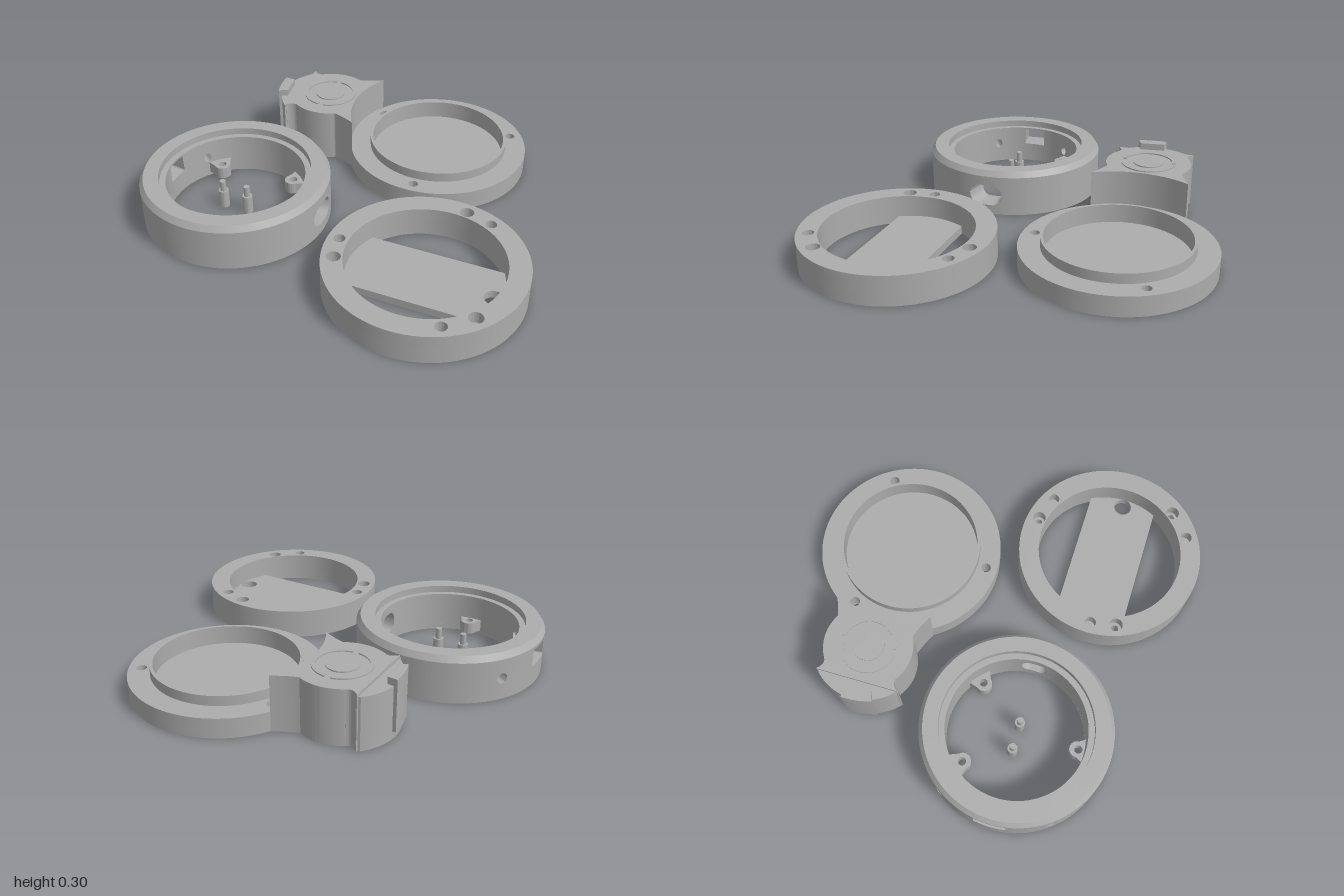
import * as THREE from 'three';
import { toCreasedNormals } from 'three/addons/utils/BufferGeometryUtils.js';

const gray = new THREE.MeshStandardMaterial({ color: 0xacacac });
gray.name = 'gray';
const rad = THREE.MathUtils.degToRad;

function add(parent, name, geometry) {
  const m = new THREE.Mesh(toCreasedNormals(geometry, 0.5), gray);
  m.name = name;
  parent.add(m);
  return m;
}

function circle(x, z, r, Type = THREE.Path) {
  const p = new Type();
  p.absarc(x, z, r, 0, Math.PI * 2, false);
  return p;
}

// Flat outline in x, z with holes [x, z, r], raised from y0 to y1
function slab(shape, y0, y1, holes = []) {
  for (const [x, z, r] of holes) shape.holes.push(circle(x, z, r));
  const g = new THREE.ExtrudeGeometry(shape, { depth: y1 - y0, bevelEnabled: false, curveSegments: 48 });
  return g.rotateX(Math.PI / 2).translate(0, y1, 0);
}

const disc = (r) => circle(0, 0, r, THREE.Shape);

// Closed (radius, y) profile, depending on the angle, swept round the y axis
function sweep(profile, n) {
  const pos = [], index = [];
  let k = 0;
  for (let i = 0; i <= n; i++) {
    const a = (i / n) * Math.PI * 2, loop = profile(a);
    k = loop.length;
    for (const [r, y] of loop) pos.push(r * Math.cos(a), y, r * Math.sin(a));
  }
  for (let i = 0; i < n; i++) for (let j = 0; j < k; j++) {
    const a = i * k + j, b = i * k + (j + 1) % k;
    index.push(a, b, b + k, a, b + k, a + k);
  }
  const g = new THREE.BufferGeometry();
  g.setAttribute('position', new THREE.Float32BufferAttribute(pos, 3));
  g.setIndex(index);
  return g;
}

// Openings through the housing wall: direction, half width, half height, centre height
const openings = [
  { a: 0, w: 0.09, h: 0.055, y: 0.105, round: true },
  { a: Math.PI, w: 0.08, h: 0.045, y: 0.15 },
  { a: Math.atan2(0.28, -0.375), w: 0.026, h: 0.026, y: 0.11, round: true },
  { a: Math.atan2(-0.27, -0.38), w: 0.026, h: 0.026, y: 0.11, round: true },
];

function gap(a) {
  for (const o of openings) {
    const d = Math.abs(Math.atan2(Math.sin(a - o.a), Math.cos(a - o.a))) * 0.47;
    if (d >= o.w) continue;
    const s = Math.max(0, d - (o.w - o.h));
    const h = o.round ? Math.sqrt(Math.max(0, o.h * o.h - s * s)) : o.h;
    return [o.y - h, o.y + h];
  }
  return [0.11, 0.11];
}

function buildHousing() {
  const g = new THREE.Group();
  g.name = 'housingRing';
  const lugs = [[-0.205, -0.215], [0.205, -0.225], [0.01, 0.315]];
  const screws = lugs.map(([x, z]) => {
    const s = 0.41 / Math.hypot(x, z);
    return [x * s, z * s, 0.02];
  });
  // Wall in a base plate, a lower band and an upper band with chamfer and inner step
  add(g, 'housingBase', slab(disc(0.47), 0, 0.03, [[0, 0, 0.345], ...screws]));
  add(g, 'housingLowerWall', sweep((a) => {
    const y = gap(a)[0];
    return [[0.345, 0.03], [0.47, 0.03], [0.47, y], [0.345, y]];
  }, 720));
  add(g, 'housingUpperWall', sweep((a) => {
    const y = gap(a)[1];
    return [[0.345, y], [0.47, y], [0.47, 0.21], [0.45, 0.24], [0.375, 0.24], [0.375, 0.205], [0.345, 0.205]];
  }, 720));
  // Rounded screw lugs pointing inwards
  for (const [x, z] of lugs) {
    const r = Math.hypot(x, z), s = new THREE.Shape();
    s.moveTo(0.352, -0.065);
    s.lineTo(0.352, 0.065);
    s.lineTo(r, 0.042);
    s.absarc(r - 0.005, 0, 0.04, rad(90), rad(270), false);
    add(g, 'screwLug', slab(s, 0.02, 0.08, [[r, 0, 0.02]])).rotation.y = -Math.atan2(z, x);
  }
  // Two stepped pins in the middle
  for (const x of [-0.077, 0.057]) {
    const pts = [[0, 0], [0.025, 0], [0.025, 0.095], [0.015, 0.095], [0.015, 0.15], [0, 0.15]];
    add(g, 'pin', new THREE.LatheGeometry(pts.map((p) => new THREE.Vector2(...p)), 32)).position.set(x, 0, 0.005);
  }
  g.position.set(-0.53, 0, 0.29);
  return g;
}

function buildCover() {
  const g = new THREE.Group();
  g.name = 'coverDisc';
  const holes = [[-0.375, 0.185 * -1, 0.025], [0.352, -0.21, 0.025], [-0.003, 0.412, 0.025]];
  add(g, 'coverFloor', slab(disc(0.472), 0, 0.055, holes));
  add(g, 'coverFlange', slab(disc(0.472), 0.055, 0.1, [[0, 0, 0.35], ...holes]));
  add(g, 'coverRim', slab(disc(0.365), 0.1, 0.15, [[0, 0, 0.35]]));
  g.position.set(0.275, 0, -0.51);
  return g;
}

function buildBaseRing() {
  const g = new THREE.Group();
  g.name = 'baseRing';
  const through = [[0.08, -0.402], [-0.392, 0.128], [0.305, 0.27]];
  const blind = [[0.21, -0.355], [-0.415, 0], [0.185, 0.37]];
  const sized = (list, r) => list.map(([x, z]) => [x, z, r]);
  add(g, 'ringLower', slab(disc(0.472), 0, 0.09, [[0, 0, 0.37], ...sized(through, 0.019)]));
  add(g, 'ringUpper', slab(disc(0.472), 0.09, 0.15,
    [[0, 0, 0.37], ...sized(through, 0.034), ...sized(blind, 0.028)]));
  // Strap across the opening, slightly turned
  const s = new THREE.Shape();
  s.moveTo(-0.33, -0.188);
  s.lineTo(0.33, -0.168);
  s.quadraticCurveTo(0.41, 0.01, 0.33, 0.183);
  s.lineTo(-0.33, 0.165);
  s.quadraticCurveTo(-0.41, -0.01, -0.33, -0.188);
  add(g, 'strap', slab(s, 0.001, 0.04, [[0.325, 0.01, 0.045]]));
  g.position.set(0.527, 0, 0.5);
  return g;
}

function buildHub() {
  const g = new THREE.Group();
  g.name = 'hub';
  // Round body flaring out to meet the cover disc
  const s = new THREE.Shape();
  s.moveTo(0.225, 0.245);
  s.quadraticCurveTo(0.15, 0.205, 0.105, 0.194);
  s.absarc(0, 0, 0.22, rad(62), rad(122), false);
  s.quadraticCurveTo(-0.145, 0.165, -0.18, 0.205);
  s.lineTo(-0.18, -0.205);
  s.quadraticCurveTo(-0.145, -0.165, -0.117, -0.187);
  s.absarc(0, 0, 0.22, rad(238), rad(298), false);
  s.quadraticCurveTo(0.15, -0.205, 0.225, -0.245);
  s.absarc(0.63, 0, 0.473, rad(211), rad(149), true);
  add(g, 'hubBody', slab(s, 0, 0.28));
  // Lower lobe on the outer side
  const lobe = new THREE.Shape();
  lobe.moveTo(-0.17, 0.195);
  lobe.lineTo(-0.18, 0.215);
  lobe.absarc(0, 0, 0.27, rad(130), rad(225), false);
  lobe.lineTo(-0.17, -0.195);
  add(g, 'hubLobe', slab(lobe, 0, 0.265));
  // Upright catch
  const c = new THREE.Shape();
  c.moveTo(-0.285, -0.04);
  c.lineTo(-0.235, -0.035);
  c.lineTo(-0.22, 0.09);
  c.lineTo(-0.265, 0.11);
  c.quadraticCurveTo(-0.29, 0.03, -0.285, -0.04);
  add(g, 'catch', slab(c, 0.04, 0.3));
  // Split collar and button on the top
  for (const a of [-84, 96]) {
    const arc = new THREE.Shape();
    arc.absarc(0, 0, 0.14, rad(a), rad(a + 168), false);
    arc.absarc(0, 0, 0.122, rad(a + 168), rad(a), true);
    add(g, 'collarArc', slab(arc, 0.275, 0.286));
  }
  add(g, 'button', slab(disc(0.078), 0.275, 0.286));
  g.position.set(-0.355, 0, -0.51);
  return g;
}

export function createModel() {
  const model = new THREE.Group();
  model.name = 'roundHousingParts';
  model.add(buildHousing(), buildCover(), buildBaseRing(), buildHub());
  return model;
}
